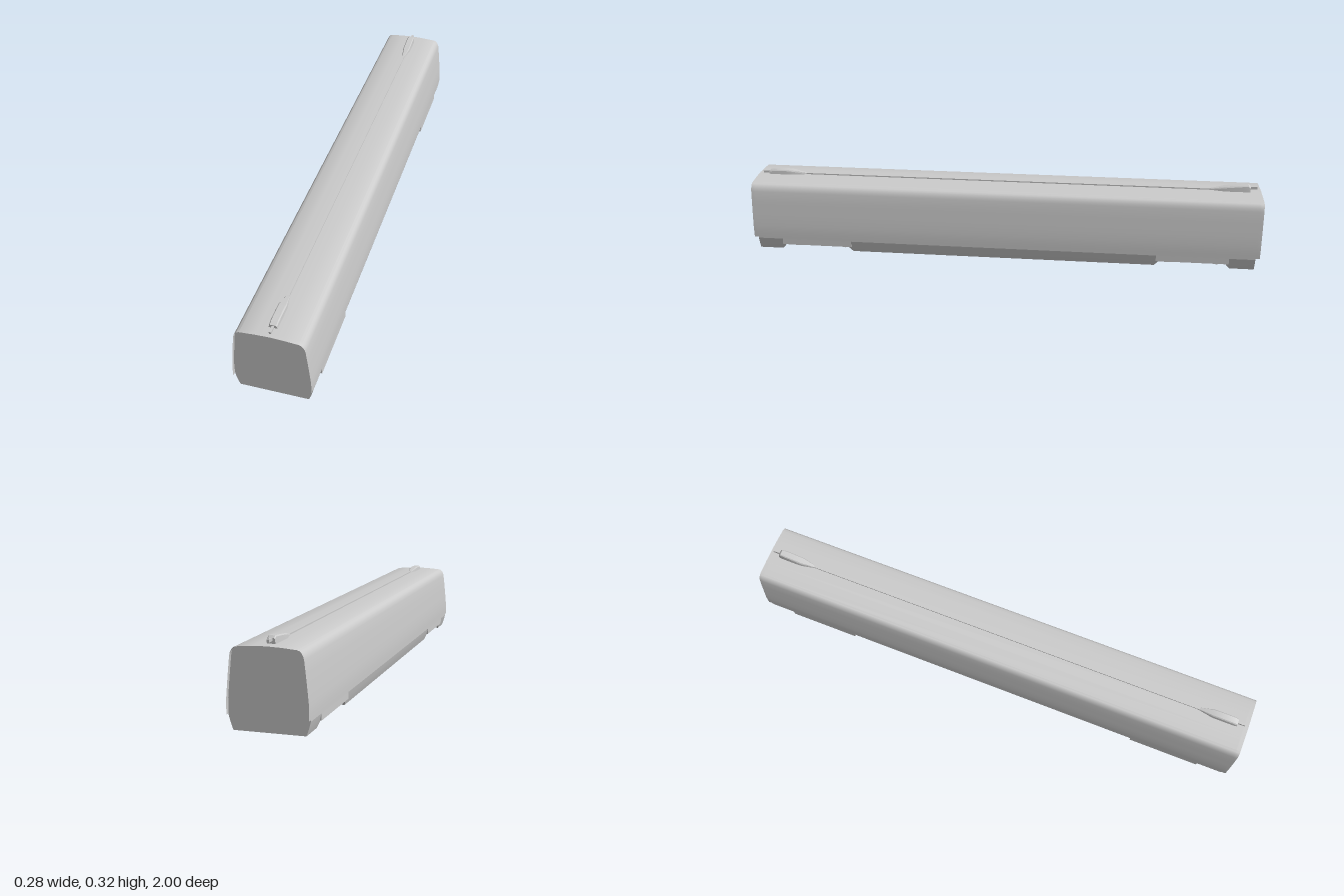
import * as THREE from 'three';
import { toCreasedNormals } from 'three/addons/utils/BufferGeometryUtils.js';

const grey = new THREE.MeshStandardMaterial({ color: 0xcccccc, side: THREE.DoubleSide });
const END = 0.984;

function add(parent, name, geometry, x = 0, y = 0, z = 0) {
  const mesh = new THREE.Mesh(geometry, grey);
  mesh.name = name;
  mesh.position.set(x, y, z);
  parent.add(mesh);
  return mesh;
}

// Right half outline mirrored into a full, counterclockwise outline
const mirror = (half) => [...half, ...half.slice().reverse().filter(([x]) => x > 0).map(([x, y]) => [-x, y])];

function extrude(outline, z0, z1) {
  const shape = new THREE.Shape(outline.map(([x, y]) => new THREE.Vector2(x, y)));
  return new THREE.ExtrudeGeometry(shape, { depth: z1 - z0, bevelEnabled: false }).translate(0, 0, z0);
}

// Joins equal-length rings of [x, y, z] points from back to front
function loft(rings, closed = true) {
  const n = rings[0].length, pos = rings.flat(2), idx = [];
  for (let r = 0; r < rings.length - 1; r++) {
    for (let i = 0; i < (closed ? n : n - 1); i++) {
      const j = (i + 1) % n, a = r * n, b = a + n;
      idx.push(a + i, a + j, b + j, a + i, b + j, b + i);
    }
  }
  if (closed) {
    const last = (rings.length - 1) * n;
    for (let i = 1; i < n - 1; i++) idx.push(0, i + 1, i, last, last + i, last + i + 1);
  }
  const g = new THREE.BufferGeometry();
  g.setAttribute('position', new THREE.Float32BufferAttribute(pos, 3));
  g.setIndex(idx);
  return toCreasedNormals(g, 0.5);
}

// Rounded-shoulder car section above the skirt
const upperHalf = [
  [0.137, 0.06], [0.1375, 0.085], [0.137, 0.115], [0.133, 0.16], [0.128, 0.21], [0.123, 0.255],
  [0.12, 0.267], [0.115, 0.276], [0.109, 0.282], [0.101, 0.285], [0.05, 0.289], [0, 0.291],
];
const skirtHalf = [[0.122, 0.012], [0.131, 0.037], [0.137, 0.06]];

// Skirt block whose ends lean back around the bogie openings
function skirt(z0, z1, lean0, lean1) {
  const g = extrude(mirror(skirtHalf), z0, z1), p = g.attributes.position;
  for (let i = 0; i < p.count; i++) {
    const t = Math.min(1, (p.getY(i) - 0.012) / 0.025);
    const z = p.getZ(i);
    p.setZ(i, z + t * (z < (z0 + z1) / 2 ? lean0 : lean1));
  }
  return toCreasedNormals(g, 0.5);
}

// Tapered roof pod; each station is [z, half width, top]
function pod(stations) {
  return loft(stations.map(([z, w, top]) => [
    [-w, 0.284, z], [w, 0.284, z], [w * 0.85, top - 0.004, z],
    [w * 0.65, top, z], [-w * 0.65, top, z], [-w * 0.85, top - 0.004, z],
  ]));
}

function makeBogie() {
  const bogie = new THREE.Group();
  bogie.name = 'bogie';
  for (const s of [-1, 1]) {
    add(bogie, 'sideFrame', new THREE.BoxGeometry(0.012, 0.034, 0.23), s * 0.064, 0.043, 0);
    for (const z of [-0.098, 0.098]) {
      add(bogie, 'wheel', new THREE.CylinderGeometry(0.042, 0.042, 0.007, 24).rotateZ(Math.PI / 2), s * 0.064, 0.042, z);
    }
  }
  return bogie;
}

export function createModel() {
  const car = new THREE.Group();
  car.name = 'railCar';

  add(car, 'bodyShell', toCreasedNormals(extrude(mirror(upperHalf), -END, END), 0.5));
  add(car, 'middleSkirt', skirt(-0.6, 0.6, -0.02, 0.02));
  add(car, 'roofConduit', new THREE.BoxGeometry(0.009, 0.009, 1.62), 0, 0.291, 0);

  for (const dir of [1, -1]) {
    const end = new THREE.Group();
    end.name = dir > 0 ? 'frontEnd' : 'rearEnd';
    end.rotation.y = dir > 0 ? 0 : Math.PI;
    car.add(end);

    // Thin rim that overhangs the recessed end wall
    const rim = mirror([[0.137, 0.065], ...upperHalf.slice(1)]);
    add(end, 'endRim', loft([END, 1].map((z) => rim.map(([x, y]) => [x, y, z])), false));
    add(end, 'endSkirt', skirt(0.89, END, -0.02, 0));

    // Flared covers over the bogie opening
    for (const s of [-1, 1]) {
      add(end, 'bogieCover', new THREE.BoxGeometry(0.02, 0.025, 0.28), s * 0.127, 0.0485, 0.745);
    }
    const bogie = makeBogie();
    bogie.position.z = 0.748;
    end.add(bogie);

    // Low pod at the front, raised pod with a hook at the rear
    if (dir > 0) {
      add(end, 'roofPod', pod([[0.8, 0.005, 0.294], [0.86, 0.017, 0.306], [0.89, 0.017, 0.308], [0.94, 0.017, 0.307], [0.957, 0.016, 0.302]]));
      add(end, 'podTip', new THREE.BoxGeometry(0.008, 0.008, 0.03), 0, 0.295, 0.97);
    } else {
      add(end, 'roofPod', pod([[0.8, 0.005, 0.294], [0.86, 0.017, 0.307], [0.92, 0.017, 0.314], [0.95, 0.016, 0.316], [0.958, 0.015, 0.309]]));
      add(end, 'podTip', new THREE.BoxGeometry(0.008, 0.01, 0.032), 0, 0.304, 0.968);
    }
  }
  return car;
}
